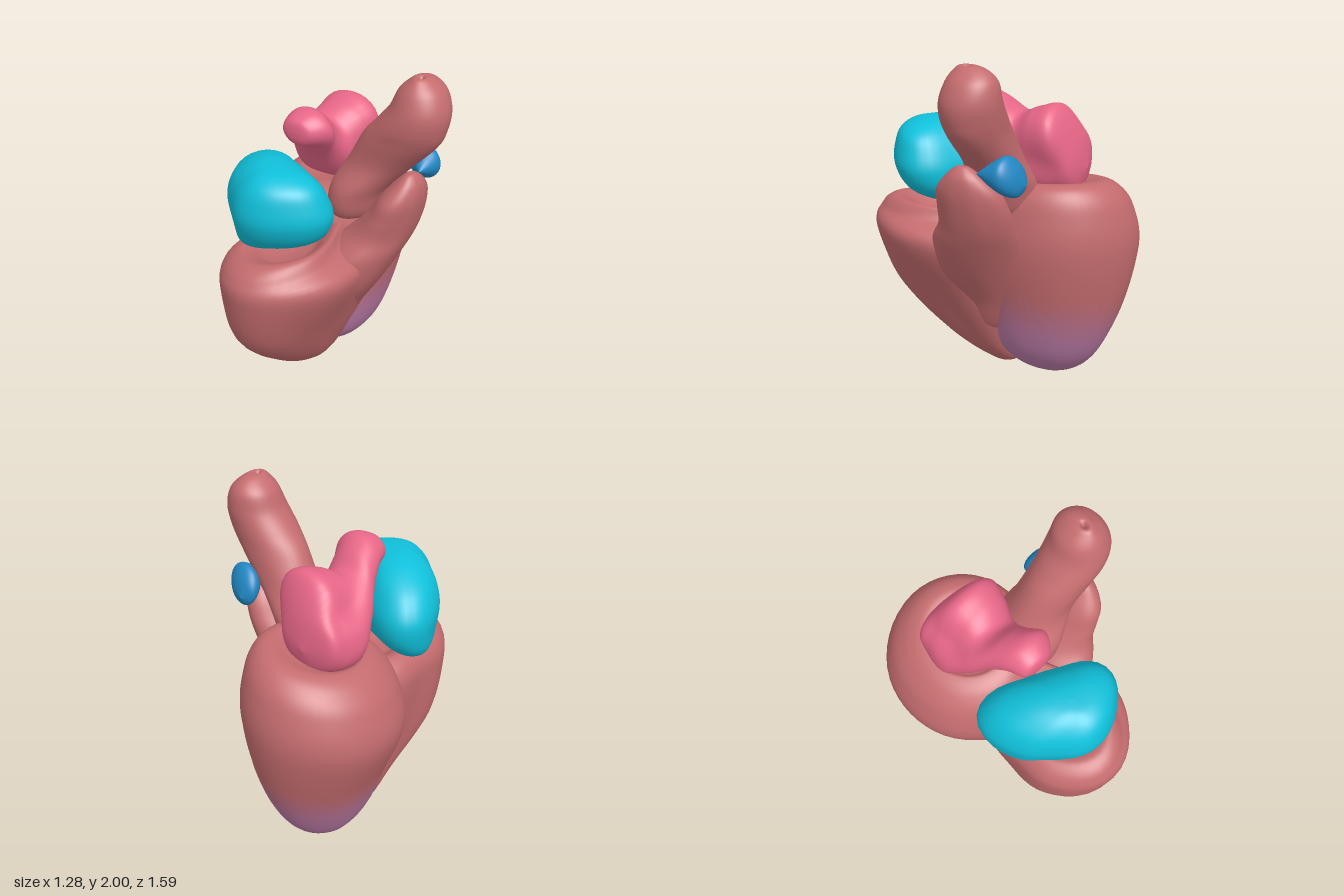
import * as THREE from 'three';

const FLESH = 0xc46c6e, PURPLE = 0xb97aa6;
const mat = (color) => new THREE.MeshStandardMaterial({ color, side: THREE.DoubleSide });

// smooth curve through four values
function spline(a, b, c, d, t) {
  return b + 0.5 * t * (c - a + t * (2 * a - 5 * b + 4 * c - d + t * (3 * (b - c) + d - a)));
}

// a section is [t, u, v, ru, rv] (ellipse) or [t, u, v, r0..r7] (radius every 45 degrees)
function expand(s) {
  if (s.length > 5) return s;
  const [t, u, v, a, b] = s;
  const d = a * b === 0 ? 0 : Math.SQRT2 * a * b / Math.hypot(a, b);
  return [t, u, v, a, d, b, d, a, d, b, d];
}

// smooth skin through sections stacked along y (u = x, v = z) or z (u = x, v = y);
// tilt slants the sections, more so further along the axis
function loft(sections, axis = 'y', tilt = [0, 0], steps = 8, around = 48) {
  const S = sections.map(expand), n = S.length, pos = [], idx = [];
  const rows = (n - 1) * steps + 1;
  for (let j = 0; j < rows; j++) {
    const i = Math.min(Math.floor(j / steps), n - 2), f = j / steps - i;
    const at = (k) => S[Math.max(0, Math.min(n - 1, k))];
    const ring = S[0].map((_, c) => spline(at(i - 1)[c], at(i)[c], at(i + 1)[c], at(i + 2)[c], f));
    const r = ring.slice(3);
    for (let k = 0; k < around; k++) {
      const q = k / around * 8, m = Math.floor(q), w = (e) => r[(m + e + 8) % 8];
      const rad = Math.max(0, spline(w(-1), w(0), w(1), w(2), q - m));
      const ang = k / around * Math.PI * 2;
      const du = rad * Math.cos(ang), dv = rad * Math.sin(ang);
      const u = ring[1] + du, v = ring[2] + dv;
      const t = ring[0] * (1 + tilt[0] * du + tilt[1] * dv);
      if (axis === 'y') pos.push(u, t, v); else pos.push(u, v, t);
    }
  }
  // outward winding depends on the axis and on the direction of stacking
  const flip = (axis === 'y') !== (S[Math.floor(n / 2)][0] > S[0][0]);
  for (let j = 0; j < rows - 1; j++) for (let k = 0; k < around; k++) {
    const a = j * around + k, b = j * around + (k + 1) % around, c = a + around, d = b + around;
    if (flip) idx.push(a, b, c, b, d, c); else idx.push(a, c, b, b, c, d);
  }
  const g = new THREE.BufferGeometry();
  g.setAttribute('position', new THREE.Float32BufferAttribute(pos, 3));
  g.setIndex(idx);
  g.computeVertexNormals();
  return g;
}

// the same outline, moved and scaled
const scaled = (radii, t, u, v, s) => [t, u, v, ...radii.map((r) => r * s)];

export function createModel() {
  const heart = new THREE.Group();
  heart.name = 'heart';
  const add = (name, geometry, color, parent = heart) => {
    const m = new THREE.Mesh(geometry, mat(color));
    m.name = name;
    parent.add(m);
  };

  // left ventricle: a thick cup with a rolled, slanted rim
  const cup = loft([
    [0.015, -0.2, -0.28, 0, 0],
    [0.045, -0.2, -0.28, 0.12, 0.17],
    [0.2, -0.17, -0.28, 0.245, 0.32],
    [0.5, -0.175, -0.31, 0.35, 0.42],
    [0.85, -0.2, -0.32, 0.44, 0.475],
    [1.08, -0.19, -0.32, 0.405, 0.435],
    [1.2, -0.17, -0.32, 0.335, 0.36],
    [1.245, -0.16, -0.32, 0.25, 0.27],
    [1.22, -0.17, -0.29, 0.18, 0.19],
    [1.18, -0.18, -0.28, 0, 0],
  ], 'y', [0.13, -0.07]);
  // its apex fades to purple in a few shades
  const ventricle = new THREE.Group();
  ventricle.name = 'leftVentricle';
  heart.add(ventricle);
  const SHADES = 10, buckets = Array.from({ length: SHADES }, () => []);
  const p = cup.attributes.position, ix = cup.index.array;
  for (let i = 0; i < ix.length; i += 3) {
    const t = [ix[i], ix[i + 1], ix[i + 2]];
    const mean = (get) => t.reduce((s, k) => s + p[get](k) / 3, 0);
    const w = THREE.MathUtils.smoothstep(0.65 - mean('getY') + 0.2 * mean('getX'), 0, 0.4);
    buckets[Math.round(w * (SHADES - 1))].push(...t);
  }
  buckets.forEach((b, i) => {
    if (!b.length) return;
    const g = cup.clone();
    g.setIndex(b);
    const c = new THREE.Color(FLESH).lerp(new THREE.Color(PURPLE), i / (SHADES - 1));
    add(i === 0 ? 'ventricleWall' : 'ventricleApex' + i, g, c, ventricle);
  });

  // right ventricle: wraps the front, with a sunken top
  const rim = [0.3, 0.39, 0.5, 0.42, 0.34, 0.43, 0.5, 0.32];
  add('rightVentricle', loft([
    [0, -0.19, 0, 0, 0],
    [0.04, -0.185, 0.01, 0.085, 0.1],
    [0.2, -0.14, 0.1, 0.17, 0.2, 0.27, 0.2, 0.18, 0.2, 0.2, 0.2],
    [0.5, -0.1, 0.25, 0.26, 0.3, 0.44, 0.36, 0.28, 0.33, 0.4, 0.36],
    [0.85, -0.08, 0.3, 0.4, 0.43, 0.49, 0.41, 0.33, 0.42, 0.5, 0.45],
    scaled(rim, 0.98, -0.08, 0.3, 0.92),
    scaled(rim, 1.045, -0.07, 0.3, 0.75),
    scaled(rim, 1.03, -0.07, 0.3, 0.58),
    scaled(rim, 0.97, -0.07, 0.3, 0.35),
    scaled(rim, 0.95, -0.07, 0.3, 0),
  ], 'y', [0.12, 0.02]), FLESH);

  // outflow tract growing out of the right ventricle wall
  add('outflowTract', loft([
    [0.2, -0.06, 0, 0, 0],
    [0.35, -0.03, 0.02, 0.12, 0.12],
    [0.55, 0.03, 0.02, 0.16, 0.2],
    [0.75, 0.12, 0.04, 0.195, 0.27],
    [0.95, 0.22, 0, 0.2, 0.265],
    [1.08, 0.31, -0.045, 0.165, 0.225],
    [1.2, 0.375, -0.055, 0.135, 0.21],
    [1.31, 0.42, -0.05, 0.11, 0.185],
    [1.4, 0.455, -0.045, 0.07, 0.11],
    [1.455, 0.465, -0.04, 0.025, 0.04],
    [1.46, 0.465, -0.04, 0, 0],
  ]), FLESH);

  // aorta: slanted trunk with a small dimple at the tip
  add('aorta', loft([
    [1.05, 0.07, -0.1, 0, 0],
    [1.12, 0.08, -0.1, 0.13, 0.18],
    [1.28, 0.12, -0.1, 0.16, 0.21],
    [1.45, 0.24, -0.11, 0.19, 0.16],
    [1.62, 0.365, -0.095, 0.22, 0.16],
    [1.72, 0.43, -0.09, 0.2, 0.168],
    [1.82, 0.475, -0.095, 0.165, 0.165],
    [1.92, 0.48, -0.105, 0.125, 0.14],
    [1.98, 0.48, -0.1, 0.065, 0.09],
    [2, 0.48, -0.08, 0.025, 0.035],
    [1.97, 0.48, -0.08, 0, 0],
  ]), FLESH);

  // right atrium: broad pouch at the front, leaning forward towards its top
  const pouch = [0.38, 0.32, 0.28, 0.23, 0.3, 0.42, 0.27, 0.26];
  add('rightAtrium', loft([
    scaled(pouch, 0.985, -0.3, 0.36, 0),
    scaled(pouch, 0.995, -0.3, 0.36, 0.26),
    scaled(pouch, 1.06, -0.25, 0.35, 0.62),
    scaled(pouch, 1.16, -0.18, 0.36, 0.9),
    scaled(pouch, 1.29, -0.15, 0.38, 1),
    scaled(pouch, 1.41, -0.13, 0.4, 0.88),
    scaled(pouch, 1.49, -0.1, 0.42, 0.66),
    scaled(pouch, 1.535, -0.09, 0.43, 0.35),
    scaled(pouch, 1.545, -0.09, 0.43, 0),
  ], 'y', [-0.02, 0]), 0x10c0da);

  // left atrium: forward horn, saddle and rear lobe
  add('leftAtrium', loft([
    [0.22, -0.1, 1.64, 0, 0],
    [0.2, -0.11, 1.64, 0.09, 0.07],
    [0.1, -0.1, 1.63, 0.145, 0.115],
    [0, -0.14, 1.55, 0.15, 0.15],
    [-0.1, -0.17, 1.44, 0.19, 0.18],
    [-0.22, -0.19, 1.4, 0.23, 0.3, 0.25, 0.17, 0.22, 0.26, 0.2, 0.25],
    [-0.35, -0.19, 1.38, 0.22, 0.33, 0.29, 0.19, 0.21, 0.25, 0.18, 0.22],
    [-0.45, -0.2, 1.35, 0.17, 0.16],
    [-0.49, -0.2, 1.32, 0, 0],
  ], 'z'), 0xe86788);

  // pulmonary artery stub: small teardrop beside the outflow tract
  add('pulmonaryArtery', loft([
    [-0.12, 0.47, 1.43, 0, 0],
    [-0.2, 0.44, 1.43, 0.07, 0.065],
    [-0.27, 0.415, 1.425, 0.105, 0.105],
    [-0.33, 0.385, 1.39, 0.08, 0.08],
    [-0.365, 0.37, 1.37, 0, 0],
  ], 'z'), 0x2188c4);

  return heart;
}
